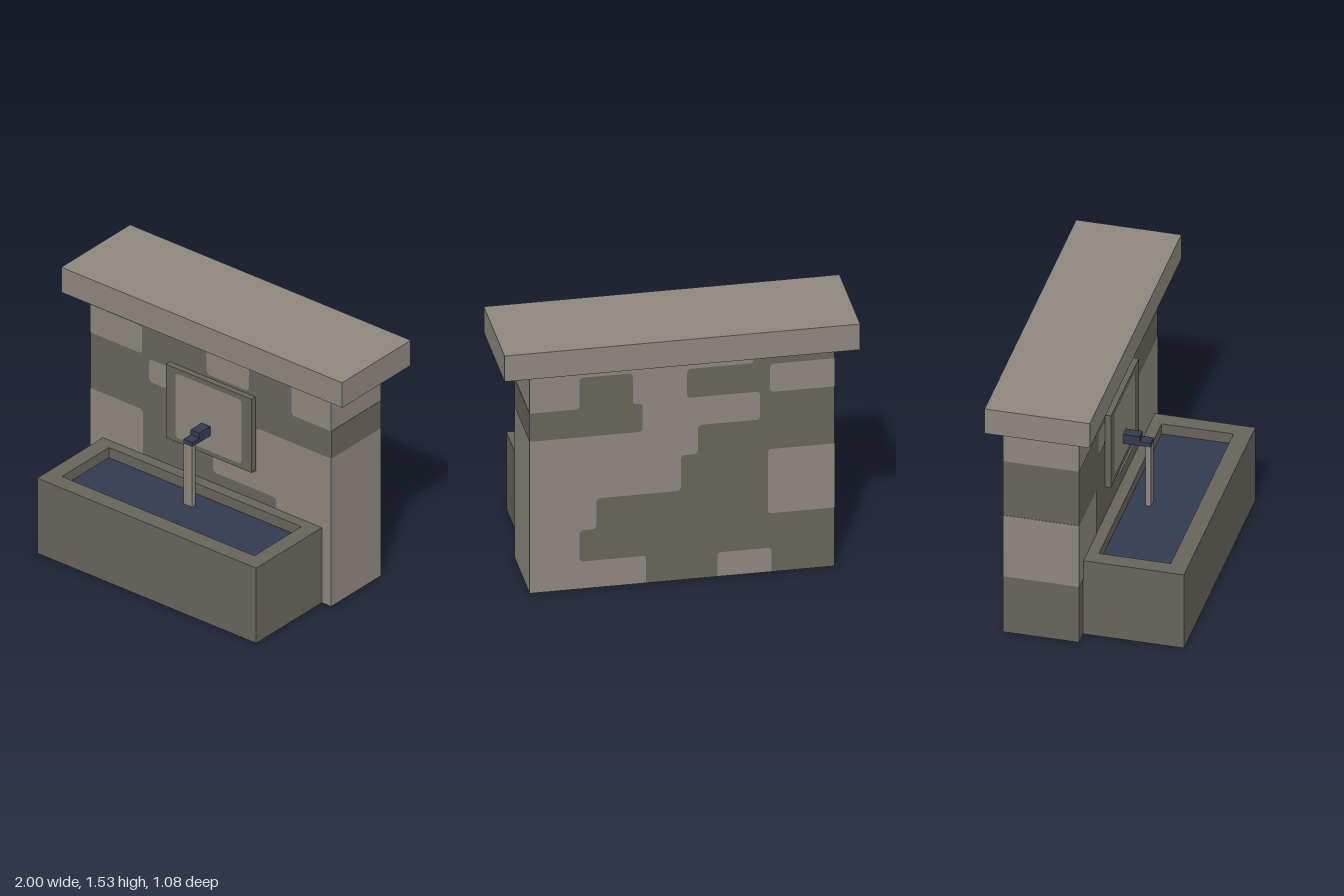
import * as THREE from 'three';

const mat = (name, color) => new THREE.MeshStandardMaterial({ name, color });

export function createModel() {
  const light = mat('lightStone', 0x8c877e);
  const dark = mat('darkStone', 0x67645b);
  const blue = mat('darkBlue', 0x333a50);
  const model = new THREE.Group();
  model.name = 'wallFountain';

  const add = (parent, name, geometry, material) => {
    const mesh = new THREE.Mesh(geometry, material);
    mesh.name = name;
    parent.add(mesh);
    return mesh;
  };

  // Box given by its extents on each axis
  const box = (parent, name, material, [x0, x1], [y0, y1], [z0, z1]) => {
    const g = new THREE.BoxGeometry(x1 - x0, y1 - y0, z1 - z0);
    g.translate((x0 + x1) / 2, (y0 + y1) / 2, (z0 + z1) / 2);
    return add(parent, name, g, material);
  };

  const rect = (x0, x1, y0, y1) => [[x0, y0], [x1, y0], [x1, y1], [x0, y1]];

  // Wall limits; corners lying on them stay square
  const L = -0.87, R = 0.845, T = 1.37, ZB = -0.47, ZF = -0.035;
  const onEdge = ([x, y]) => x === L || x === R || y === 0 || y === T;

  // Polygon with softly rounded corners
  const outline = (pts, path = new THREE.Shape(), r = 0.025) => {
    const n = pts.length;
    pts.forEach((p, i) => {
      const c = new THREE.Vector2(...p);
      const toward = (q) => {
        const v = new THREE.Vector2(...q).sub(c);
        return v.setLength(Math.min(r, v.length() / 2)).add(c);
      };
      const a = toward(pts[(i + n - 1) % n]), b = toward(pts[(i + 1) % n]);
      const sharp = onEdge(p);
      if (i === 0) path.moveTo(a.x, a.y); else path.lineTo(a.x, a.y);
      if (sharp) { path.lineTo(c.x, c.y); path.lineTo(b.x, b.y); }
      else path.quadraticCurveTo(c.x, c.y, b.x, b.y);
    });
    path.closePath();
    return path;
  };

  // Flat stone patch facing +z, or -z when back is set
  const patch = (parent, name, material, pts, z, back = false, holes = []) => {
    const s = outline(pts);
    holes.forEach((h) => s.holes.push(outline(h, new THREE.Path())));
    const g = new THREE.ShapeGeometry(s, 4);
    if (back) {
      const idx = g.index.array;
      for (let i = 0; i < idx.length; i += 3) [idx[i], idx[i + 1]] = [idx[i + 1], idx[i]];
      g.computeVertexNormals();
    }
    g.translate(0, 0, z);
    return add(parent, name, g, material);
  };

  // Wall: one base colour per face
  const wall = new THREE.Group();
  wall.name = 'wall';
  model.add(wall);
  box(wall, 'wallBlock', [light, dark, light, dark, dark, light], [L, R], [0, T], [ZB, ZF]);

  // Light patches on the front
  const frontPatches = [
    rect(L, -0.5, 1.12, 1.295),
    rect(-0.45, -0.315, 0.96, 1.105),
    rect(L, -0.495, 0.365, 0.765),
    [[-0.415, T], [-0.415, 1.315], [-0.04, 1.315], [-0.04, 1.16], [0.26, 1.16], [0.26, 1.315],
      [0.565, 1.315], [0.565, 1.12], [R, 1.12], [R, T]],
    [[0.315, 0.945], [0.315, 0.655], [0.005, 0.655], [0.005, 0.55], [0.455, 0.55], [0.455, 0],
      [R, 0], [R, 0.945]],
  ];
  frontPatches.forEach((p) => patch(wall, 'frontPatch', light, p, ZF + 0.002));

  // Dark patches on the back
  patch(wall, 'backUpperPatch', dark, [[R, 1.12], [0.565, 1.12], [0.565, 1.315], [0.265, 1.315],
    [0.265, 1.12], [0.21, 1.12], [0.21, 0.945], [R, 0.945]], ZB - 0.002, true);
  patch(wall, 'backLowerPatch', dark, [
    [L, T], [-0.415, T], [-0.415, 1.31], [-0.04, 1.31], [-0.04, 1.13], [-0.45, 1.13], [-0.45, 0.955],
    [-0.1, 0.955], [-0.1, 0.775], [-0.005, 0.775], [-0.005, 0.555], [0.47, 0.555], [0.47, 0.365],
    [0.565, 0.365], [0.565, 0.17], [0.19, 0.17], [0.19, 0],
    [-0.21, 0], [-0.21, 0.15], [-0.515, 0.15], [-0.515, 0],
    [L, 0], [L, 0.365], [-0.495, 0.365], [-0.495, 0.765], [L, 0.765],
    [L, 1.12], [-0.505, 1.12], [-0.505, 1.295], [L, 1.295],
  ], ZB - 0.002, true);

  // Colour bands on the two ends
  box(wall, 'leftBand', dark, [R - 0.002, R + 0.002], [0.945, 1.12], [ZB, ZF]);
  box(wall, 'rightUpperBand', light, [L - 0.002, L + 0.002], [1.12, 1.295], [ZB, ZF]);
  box(wall, 'rightLowerBand', light, [L - 0.002, L + 0.002], [0.365, 0.765], [ZB, ZF]);

  // Light patches on the underside
  box(wall, 'undersidePatch', light, [0.19, R], [-0.001, 0.001], [ZB, -0.05]);
  box(wall, 'undersidePatch', light, [-0.515, -0.21], [-0.001, 0.001], [ZB, -0.05]);

  // Capstone
  box(model, 'capstone', light, [-1, 1], [T, 1.53], [-0.54, 0.06]);

  // Raised panel with a light inset
  const panel = new THREE.Group();
  panel.name = 'spoutPanel';
  model.add(panel);
  box(panel, 'panelFrame', dark, [-0.305, 0.305], [0.67, 1.14], [ZF, 0]);
  patch(panel, 'panelInset', light, rect(-0.235, 0.235, 0.7, 1.11), 0.002);

  // Basin: hollow rim, floor and water
  const basin = new THREE.Group();
  basin.name = 'basin';
  model.add(basin);
  const toShape = (pts, C) => new C(pts.map((p) => new THREE.Vector2(...p)));
  const rim = toShape(rect(-0.78, 0.78, -0.54, 0.035), THREE.Shape);
  rim.holes.push(toShape(rect(-0.685, 0.685, -0.44, -0.03), THREE.Path));
  const rimGeometry = new THREE.ExtrudeGeometry(rim, { depth: 0.48, bevelEnabled: false });
  add(basin, 'basinWalls', rimGeometry.rotateX(-Math.PI / 2), dark);
  box(basin, 'basinFloor', dark, [-0.685, 0.685], [0, 0.1], [0.03, 0.44]);
  box(basin, 'water', blue, [-0.685, 0.685], [0.1, 0.415], [0.03, 0.44]);

  // Spout and falling stream
  const SX = [-0.048, 0.014];
  box(model, 'spoutBase', blue, SX, [0.8, 0.86], [0, 0.097]);
  box(model, 'spoutTip', blue, SX, [0.8, 0.828], [0.097, 0.16]);
  box(model, 'stream', light, SX, [0.41, 0.8], [0.13, 0.16]);

  return model;
}
